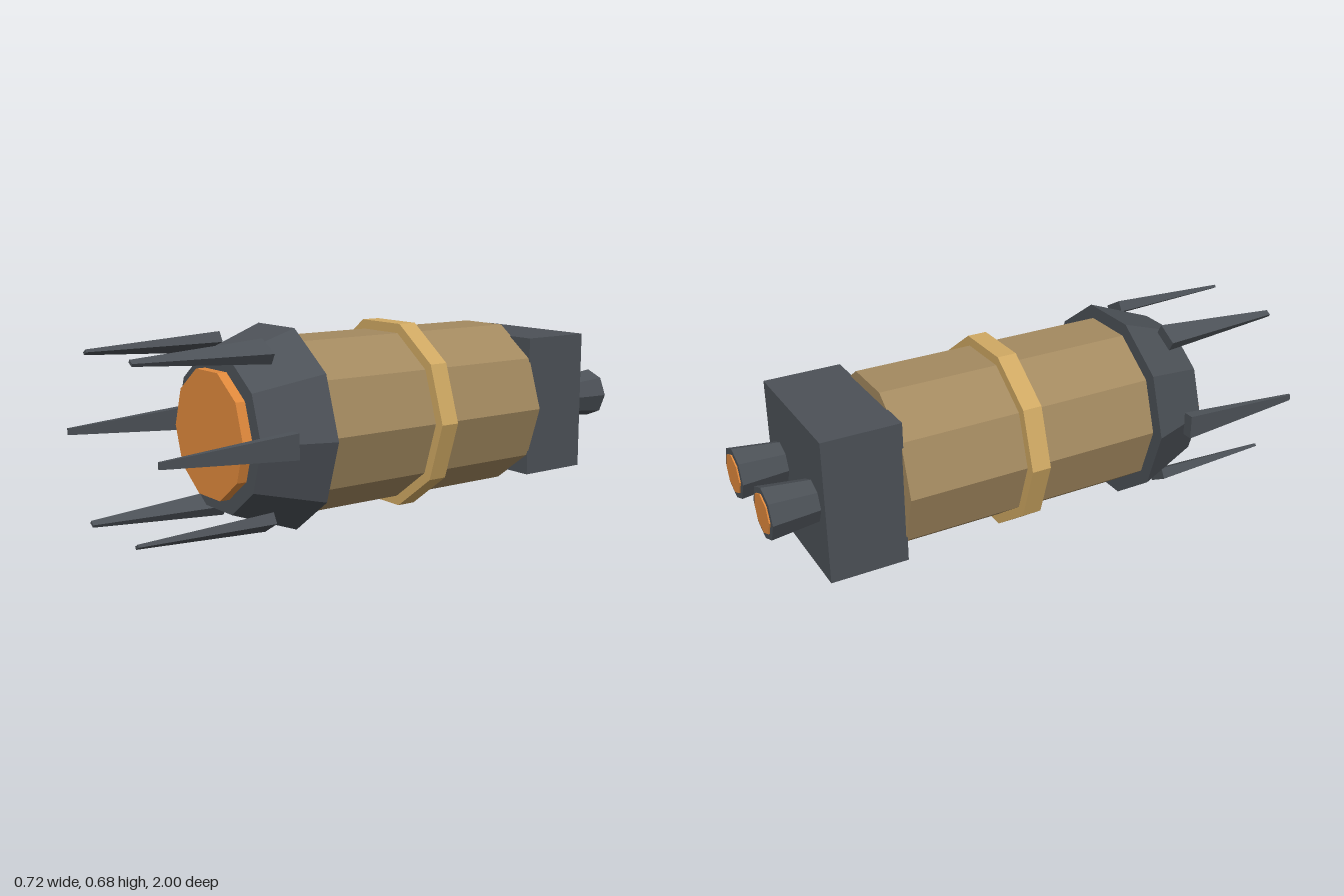
import * as THREE from 'three';

const CY = 0.343; // height of the hull axis

const mat = (color) => new THREE.MeshStandardMaterial({ color, flatShading: true });

export function createModel() {
  const model = new THREE.Group();
  const dark = mat(0x4c5157);
  const tan = mat(0xa48a60);
  const gold = mat(0xd0a963);
  const glow = mat(0xe0893c);

  const add = (name, geometry, material, x = 0, y = CY, z = 0) => {
    const mesh = new THREE.Mesh(geometry, material);
    mesh.name = name;
    mesh.position.set(x, y, z);
    model.add(mesh);
    return mesh;
  };

  // Faceted drum along z with a corner on the +x side
  const drum = (name, rFront, rBack, zFront, zBack, sides, material, x = 0) => {
    const g = new THREE.CylinderGeometry(rFront, rBack, zFront - zBack, sides);
    g.rotateY(Math.PI / 2).rotateX(Math.PI / 2);
    return add(name, g, material, x, CY, (zFront + zBack) / 2);
  };

  // Hull, band and front collar
  drum('hull', 0.31, 0.31, 0.39, -0.56, 10, tan);
  drum('hullBand', 0.345, 0.345, -0.06, -0.13, 10, gold);
  drum('frontCollar', 0.273, 0.36, 0.62, 0.385, 10, dark);
  drum('frontGlow', 0.222, 0.222, 0.655, 0.61, 10, glow);

  // Engine block with two flared nozzles
  add('engineBlock', new THREE.BoxGeometry(0.512, 0.512, 0.275), dark, 0, CY, -0.6925);
  for (const side of [-1, 1]) {
    drum('nozzle', 0.073, 0.092, -0.82, -0.995, 8, dark, side * 0.145);
    drum('nozzleGlow', 0.07, 0.07, -0.97, -1, 8, glow, side * 0.145);
  }

  // Six tapered prongs around the collar
  const prong = new THREE.CylinderGeometry(0.011 * Math.SQRT2, 0.043 * Math.SQRT2, 0.475, 4);
  prong.rotateY(Math.PI / 4).rotateX(Math.PI / 2).scale(0.47, 1, 1);
  for (let i = 0; i < 6; i++) {
    const a = (i * Math.PI) / 3;
    const mesh = add('prong', prong, dark, 0.325 * Math.cos(a), CY + 0.325 * Math.sin(a), 0.7625);
    mesh.rotation.z = a;
  }
  return model;
}
